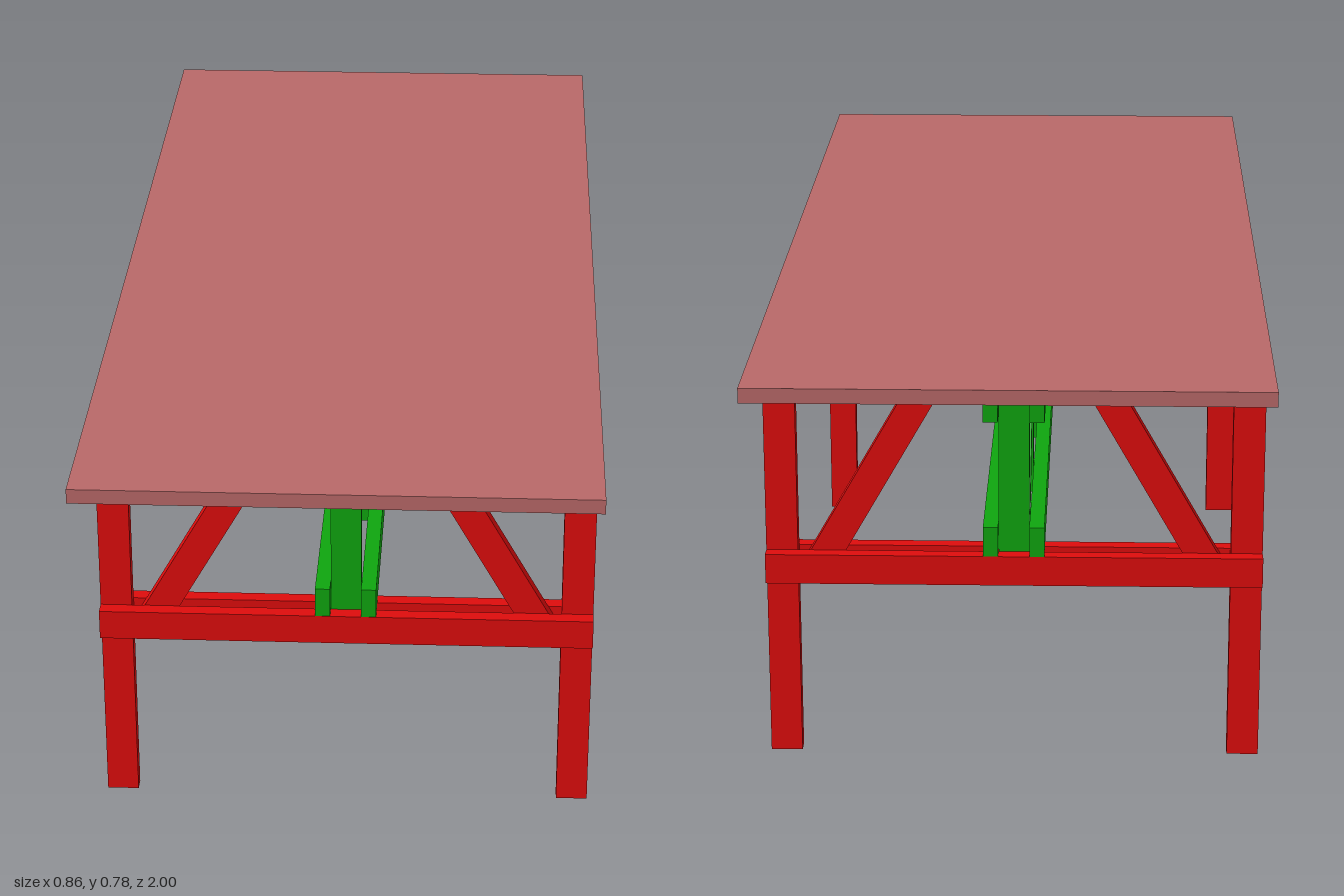
import * as THREE from 'three';

const T = 0.026; // board thickness
const W = 0.053; // board width
const END_Z = 0.638; // trestle distance from the centre

const red = new THREE.MeshStandardMaterial({ color: 0xdd0c0c });
const green = new THREE.MeshStandardMaterial({ color: 0x0fa50f });
const topColor = new THREE.MeshStandardMaterial({ color: 0xb86868 });

function box(parent, name, material, x, y, z) {
  // x, y and z are [min, max] ranges
  const mesh = new THREE.Mesh(new THREE.BoxGeometry(x[1] - x[0], y[1] - y[0], z[1] - z[0]), material);
  mesh.position.set((x[0] + x[1]) / 2, (y[0] + y[1]) / 2, (z[0] + z[1]) / 2);
  mesh.name = name;
  parent.add(mesh);
  return mesh;
}

const around = (c, size) => [c - size / 2, c + size / 2];

// Slanted board with level ends, lying in the XY plane and centred in z
function brace(parent, name, material, low, high, width) {
  const shape = new THREE.Shape([
    new THREE.Vector2(low[0] - width / 2, low[1]),
    new THREE.Vector2(low[0] + width / 2, low[1]),
    new THREE.Vector2(high[0] + width / 2, high[1]),
    new THREE.Vector2(high[0] - width / 2, high[1]),
  ]);
  const geometry = new THREE.ExtrudeGeometry(shape, { depth: T, bevelEnabled: false });
  geometry.translate(0, 0, -T / 2);
  const mesh = new THREE.Mesh(geometry, material);
  mesh.name = name;
  parent.add(mesh);
  return mesh;
}

function createTrestle(name) {
  const g = new THREE.Group();
  g.name = name;
  for (const s of [-1, 1]) {
    const side = s > 0 ? 'left' : 'right';
    box(g, side + 'Leg', red, around(s * 0.4025, 0.055), [0, 0.755], around(0, T));
    brace(g, side + 'Brace', red, [s * 0.346, 0.335], [s * 0.111, 0.745], 0.061);
    // Paired rails clamp the legs and braces
    box(g, 'lowerRail', red, [-0.43, 0.43], [0.324, 0.377], around(s * T, T));
    box(g, 'upperRail', red, [-0.43, 0.43], [0.701, 0.755], around(s * T, T));
  }
  box(g, 'centrePost', green, around(0, W), [0.324, 0.755], around(0, T));
  return g;
}

export function createModel() {
  const model = new THREE.Group();
  model.name = 'trestleTable';
  box(model, 'tableTop', topColor, [-0.43, 0.43], [0.755, 0.78], [-1, 1]);

  for (const s of [-1, 1]) {
    const trestle = createTrestle(s > 0 ? 'frontTrestle' : 'backTrestle');
    trestle.position.z = s * END_Z;
    model.add(trestle);
  }

  // Central stretcher truss: paired beams with posts between them
  const truss = new THREE.Group();
  truss.name = 'stretcherTruss';
  for (const s of [-1, 1]) {
    box(truss, 'lowerBeam', green, around(s * 0.04, T), [0.377, 0.43], [-0.676, 0.676]);
    box(truss, 'upperBeam', green, around(s * 0.04, T), [0.62, 0.673], [-0.676, 0.676]);
  }
  for (const z of [0.303, -0.01, -0.324])
    box(truss, 'trussPost', green, around(0, W), [0.377, 0.673], around(z, T));

  // Single diagonal near the back, turned into the lengthwise plane
  const diagonal = brace(truss, 'trussDiagonal', green, [0.609, 0.39], [0.358, 0.655], 0.037);
  diagonal.rotation.y = Math.PI / 2;
  diagonal.scale.z = W / T;
  model.add(truss);
  return model;
}
